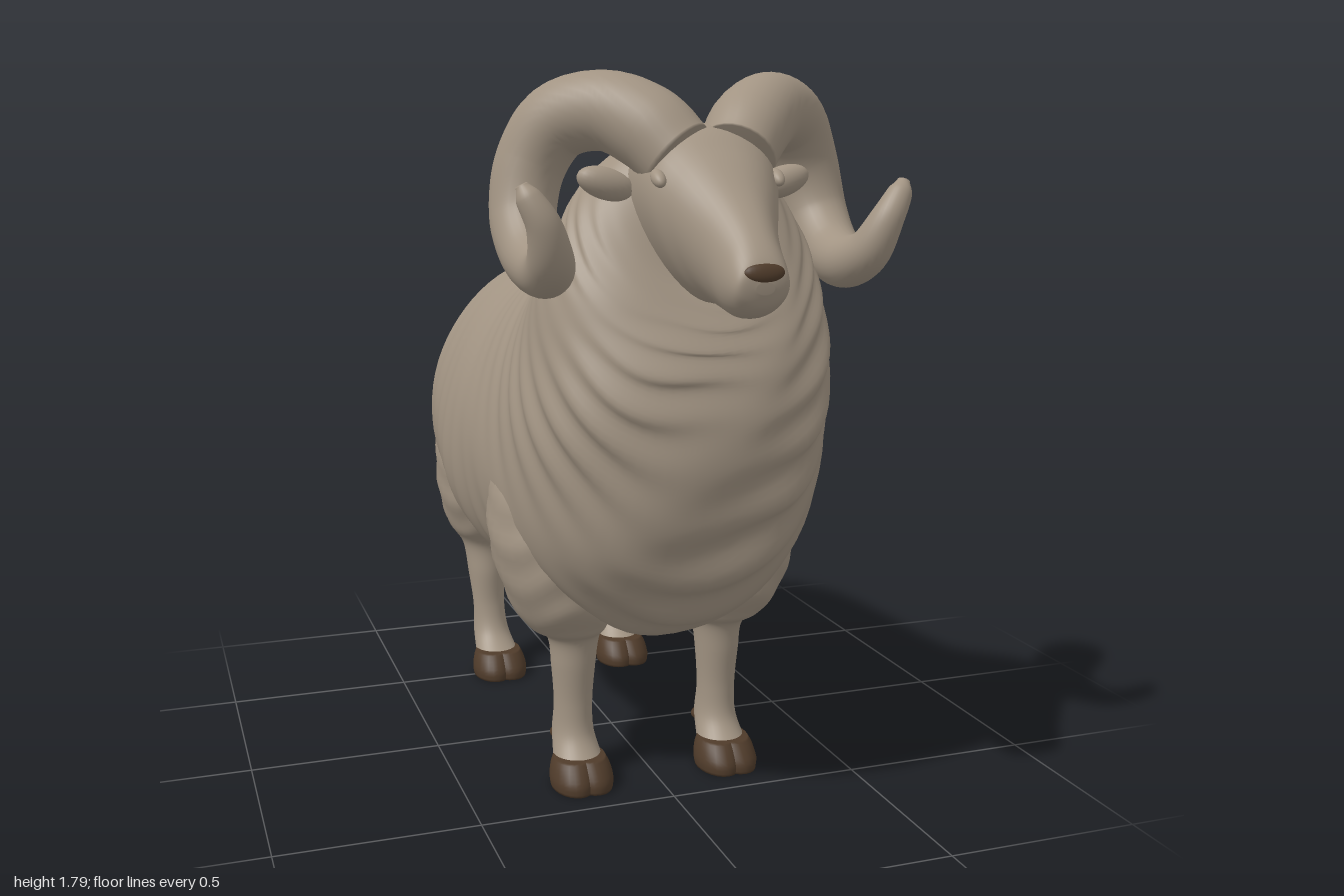
import * as THREE from 'three';

const fleece = new THREE.MeshStandardMaterial({ color: 0xa29483 });
fleece.name = 'fleece';
const hoofBrown = new THREE.MeshStandardMaterial({ color: 0x4f3b2a });
hoofBrown.name = 'hoof brown';

// Smooth interpolation of key rows at t in 0..1
function sampleKeys(keys, t) {
  const f = t * (keys.length - 1);
  const i = Math.min(Math.floor(f), keys.length - 2);
  const s = f - i;
  const at = (k) => keys[Math.max(0, Math.min(keys.length - 1, k))];
  return keys[i].map((_, c) => {
    const a = at(i - 1)[c], b = at(i)[c], d = at(i + 1)[c], e = at(i + 2)[c];
    return b + 0.5 * s * (d - a + s * (2 * a - 5 * b + 4 * d - e + s * (3 * (b - d) + e - a)));
  });
}

// Closed, capped skin over cross-sections; point(key, angle, t) gives [x, y, z]
function loft(name, keys, steps, sides, point, material) {
  const pos = [], idx = [];
  for (let i = 0; i <= steps; i++) {
    const t = i / steps, key = sampleKeys(keys, t);
    for (let j = 0; j < sides; j++) pos.push(...point(key, (j / sides) * Math.PI * 2, t));
  }
  for (const row of [0, steps]) {
    const c = [0, 0, 0];
    for (let j = 0; j < sides; j++) for (let k = 0; k < 3; k++) c[k] += pos[(row * sides + j) * 3 + k] / sides;
    pos.push(...c);
  }
  const start = (steps + 1) * sides, end = start + 1;
  for (let j = 0; j < sides; j++) {
    const n = (j + 1) % sides;
    for (let i = 0; i < steps; i++) {
      const a = i * sides + j, b = i * sides + n, c = a + sides, d = b + sides;
      idx.push(a, b, c, b, d, c);
    }
    idx.push(start, n, j, end, steps * sides + j, steps * sides + n);
  }
  // Turn the skin outwards if its volume is negative
  const v = (i) => new THREE.Vector3().fromArray(pos, i * 3);
  let volume = 0;
  for (let i = 0; i < idx.length; i += 3) volume += v(idx[i]).dot(v(idx[i + 1]).cross(v(idx[i + 2])));
  if (volume < 0) idx.reverse();
  const g = new THREE.BufferGeometry();
  g.setAttribute('position', new THREE.Float32BufferAttribute(pos, 3));
  g.setIndex(idx);
  g.computeVertexNormals();
  const mesh = new THREE.Mesh(g, material);
  mesh.name = name;
  return mesh;
}

// Section spanned by a top and bottom point: [topZ, topY, bottomZ, bottomY, halfWidth, bias]
// Folds are deepest on the chest and faint along the back
function slice(amp, waves) {
  return ([zt, yt, zb, yb, w, bias], a, t) => {
    const c = Math.cos(a), s = Math.sin(a);
    const phase = t * waves * Math.PI * 2 + 1.1 * Math.sin(3 * c + 9 * t) + 0.9 * Math.sin(5 * s + 14 * t);
    const fade = Math.min(1, t * 8, (1 - t) * 8) * (0.42 + 0.58 * THREE.MathUtils.smoothstep(t, 0.5, 0.7));
    const patch = 0.55 + 0.45 * Math.sin(4 * a + 23 * t);
    const k = 1 + amp * fade * (0.6 - 0.5 * c) * (Math.sin(phase) * patch + 0.4 * Math.sin(7 * a + 40 * t));
    const x = w * Math.sign(s) * Math.pow(Math.abs(s), 0.93) * (1 - bias * c);
    return [x * k, (yt + yb) / 2 + ((yt - yb) / 2) * c * k, (zt + zb) / 2 + ((zt - zb) / 2) * c * k];
  };
}

// Horizontal section: [y, centreX, centreZ, radiusX, radiusZ], mirrored by side
const ring = (side, ripple = 0) => ([y, x, z, rx, rz], a) => {
  const k = 1 + (y > 0.42 ? ripple * Math.sin(y * 58 + 2 * Math.sin(3 * a)) : 0);
  return [side * (x + rx * k * Math.cos(a)), y, z + rz * k * Math.sin(a)];
};

// Tapered tube through [x, y, z, radiusAcross, radiusDeep]
function taper(name, keys, steps, side) {
  const curve = new THREE.CatmullRomCurve3(keys.map((k) => new THREE.Vector3(k[0], k[1], k[2])));
  return loft(name, keys, steps, 28, (k, a, t) => {
    const p = curve.getPoint(t), tan = curve.getTangent(t);
    const n = tan.clone().cross(new THREE.Vector3(1, 0, 0)).normalize();
    const b = tan.clone().cross(n);
    p.addScaledVector(n, k[4] * Math.cos(a)).addScaledVector(b, k[3] * Math.sin(a));
    return [side * p.x, p.y, p.z];
  }, fleece);
}

function blob(name, material, position, scale, rotation = [0, 0, 0]) {
  const m = new THREE.Mesh(new THREE.SphereGeometry(1, 24, 16), material);
  m.name = name;
  m.position.set(...position);
  m.scale.set(...scale);
  m.rotation.set(...rotation);
  return m;
}

export function createModel() {
  const ram = new THREE.Group();
  ram.name = 'ram';

  // Fleeced body: sections fan round from the rump to the upright neck
  const body = [
    [-0.855, 0.98, -0.85, 0.72, 0.13, 0], [-0.83, 1.06, -0.83, 0.58, 0.215, 0.05],
    [-0.77, 1.13, -0.78, 0.51, 0.285, 0.1], [-0.65, 1.225, -0.66, 0.47, 0.35, 0.1],
    [-0.5, 1.285, -0.5, 0.48, 0.392, 0.1], [-0.3, 1.315, -0.32, 0.435, 0.415, 0.1],
    [-0.15, 1.325, -0.13, 0.405, 0.43, 0.1], [-0.05, 1.34, 0.08, 0.42, 0.42, 0.1],
    [0.03, 1.365, 0.3, 0.425, 0.41, 0.09], [0.11, 1.395, 0.5, 0.44, 0.395, 0.08],
    [0.18, 1.435, 0.67, 0.57, 0.382, 0.06], [0.25, 1.485, 0.76, 0.76, 0.365, 0.05],
    [0.31, 1.54, 0.8, 0.95, 0.345, 0.05], [0.37, 1.6, 0.79, 1.1, 0.31, 0.02],
    [0.42, 1.635, 0.76, 1.2, 0.27, 0], [0.5, 1.665, 0.72, 1.28, 0.205, 0],
    [0.58, 1.665, 0.68, 1.34, 0.12, 0],
  ];
  ram.add(loft('body', body, 200, 72, slice(0.026, 25), fleece));

  // Wedge-shaped head, broad at the brow and narrow at the jaw
  const head = [
    [0.42, 1.6, 0.6, 1.3, 0.14, -0.3], [0.55, 1.668, 0.69, 1.28, 0.152, -0.32],
    [0.68, 1.665, 0.75, 1.28, 0.148, -0.3], [0.77, 1.61, 0.79, 1.28, 0.122, -0.26],
    [0.86, 1.53, 0.85, 1.27, 0.09, -0.14], [0.93, 1.465, 0.9, 1.265, 0.075, 0],
    [0.975, 1.415, 0.95, 1.273, 0.067, 0], [0.995, 1.38, 0.98, 1.295, 0.055, 0],
    [0.998, 1.35, 0.994, 1.325, 0.02, 0],
  ];
  ram.add(loft('head', head, 64, 40, slice(0, 0), fleece));
  ram.add(blob('nose', hoofBrown, [0, 1.37, 0.988], [0.046, 0.022, 0.014], [-0.3, 0, 0]));

  // Tail and scrotum
  ram.add(taper('tail', [
    [0, 0.99, -0.76, 0.07, 0.07], [0, 0.985, -0.85, 0.078, 0.075], [0, 0.945, -0.91, 0.092, 0.075],
    [0, 0.87, -0.928, 0.1, 0.072], [0, 0.81, -0.937, 0.09, 0.06], [0, 0.78, -0.937, 0.065, 0.045],
    [0, 0.77, -0.937, 0.02, 0.015],
  ], 42, 1));
  ram.add(blob('scrotum', fleece, [0, 0.46, -0.5], [0.085, 0.09, 0.075]));

  const horn = [
    [0.07, 1.6, 0.67, 0.09], [0.12, 1.66, 0.62, 0.095], [0.2, 1.7, 0.55, 0.09],
    [0.29, 1.675, 0.475, 0.088], [0.345, 1.58, 0.443, 0.083], [0.37, 1.46, 0.465, 0.077],
    [0.372, 1.38, 0.545, 0.07], [0.368, 1.355, 0.64, 0.063], [0.38, 1.385, 0.722, 0.052],
    [0.405, 1.46, 0.76, 0.039], [0.438, 1.52, 0.757, 0.028], [0.45, 1.545, 0.75, 0.014],
  ].map((k) => [...k, k[3]]);

  // Legs, from the wool of the shoulder or thigh down to the pastern
  const frontLeg = [
    [0.97, 0.25, 0.24, 0.05, 0.08], [0.84, 0.26, 0.25, 0.13, 0.15], [0.66, 0.25, 0.275, 0.162, 0.18],
    [0.5, 0.232, 0.285, 0.138, 0.16], [0.415, 0.215, 0.285, 0.102, 0.11], [0.38, 0.2, 0.285, 0.068, 0.07],
    [0.3, 0.2, 0.285, 0.057, 0.058], [0.2, 0.2, 0.282, 0.05, 0.052], [0.12, 0.2, 0.28, 0.054, 0.064],
    [0.06, 0.2, 0.325, 0.064, 0.066],
  ];
  const rearLeg = [
    [1.06, 0.17, -0.58, 0.05, 0.08], [0.9, 0.19, -0.6, 0.135, 0.18], [0.7, 0.193, -0.62, 0.16, 0.212],
    [0.55, 0.198, -0.625, 0.148, 0.19], [0.45, 0.203, -0.63, 0.112, 0.143], [0.39, 0.208, -0.62, 0.07, 0.082],
    [0.3, 0.21, -0.605, 0.056, 0.063], [0.2, 0.208, -0.59, 0.048, 0.046], [0.12, 0.205, -0.58, 0.053, 0.06],
    [0.06, 0.2, -0.522, 0.064, 0.066],
  ];

  for (const side of [1, -1]) {
    const label = side > 0 ? 'left' : 'right';
    ram.add(taper(label + 'Horn', horn, 110, side));
    ram.add(blob(label + 'Ear', fleece, [side * 0.215, 1.54, 0.6], [0.07, 0.036, 0.032], [0, 0, side * 0.3]));
    ram.add(blob(label + 'Eyelid', fleece, [side * 0.14, 1.555, 0.735], [0.016, 0.016, 0.03], [0.5, 0, 0]));

    // Cloven hooves and dewclaws
    for (const [part, keys, z] of [['FrontLeg', frontLeg, 0.355], ['RearLeg', rearLeg, -0.492]]) {
      const leg = new THREE.Group();
      leg.name = label + part;
      leg.add(loft('leg', keys, 72, 32, ring(side, 0.018), fleece));
      for (const toe of [-1, 1]) {
        const claw = [
          [0.074, 0.2 + toe * 0.02, z - 0.02, 0.046, 0.062], [0.055, 0.2 + toe * 0.022, z - 0.012, 0.053, 0.073],
          [0.025, 0.2 + toe * 0.024, z - 0.002, 0.057, 0.083], [0, 0.2 + toe * 0.024, z, 0.054, 0.082],
        ];
        leg.add(loft('hoof', claw, 9, 24, ring(side), hoofBrown));
        leg.add(blob('dewclaw', hoofBrown, [side * (0.2 + toe * 0.024), 0.098, z - 0.122], [0.024, 0.018, 0.024]));
      }
      ram.add(leg);
    }
  }
  return ram;
}
